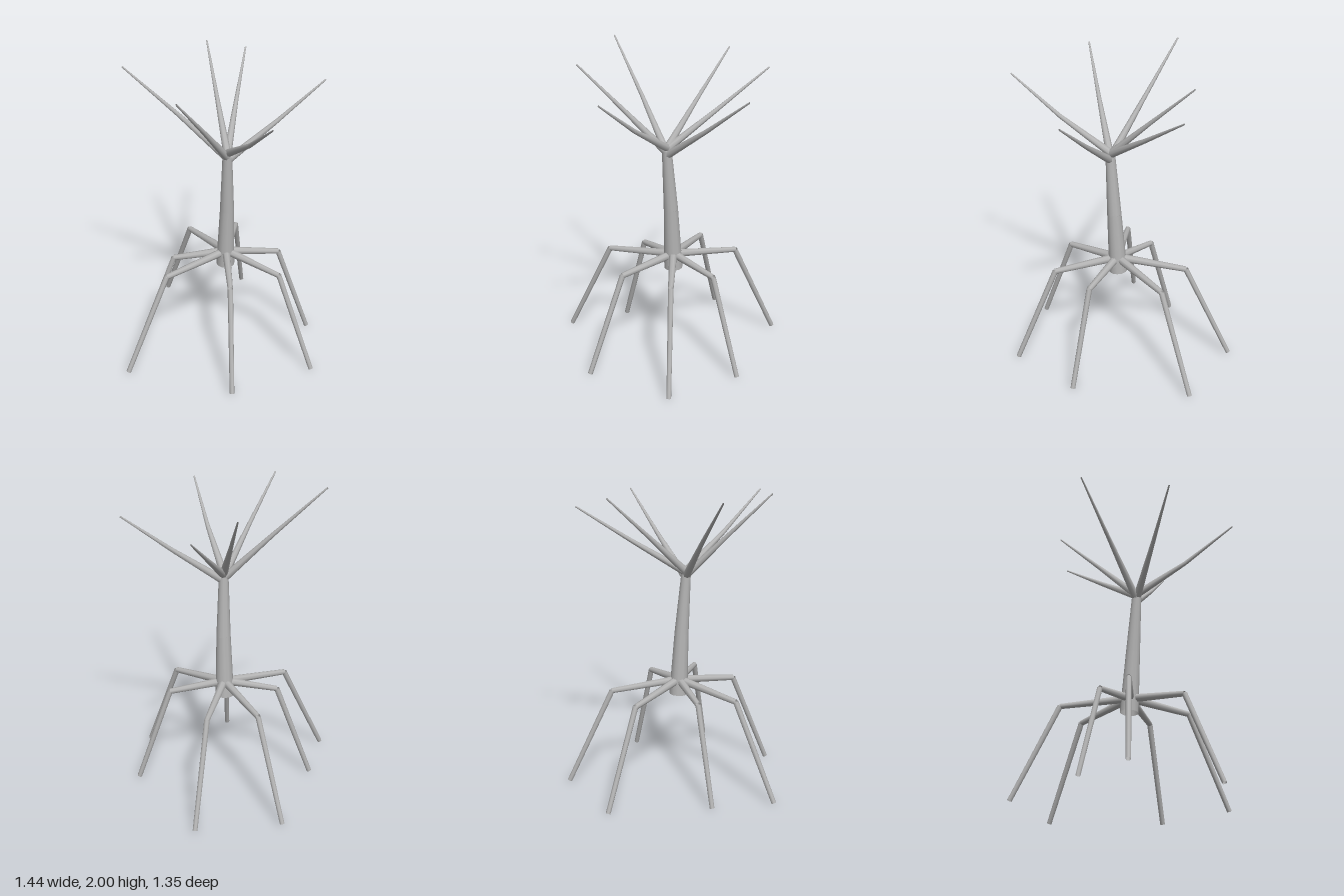
import * as THREE from 'three';

const bark = new THREE.MeshStandardMaterial({ color: 0xb4b4b4, side: THREE.DoubleSide });
bark.name = 'grey bark';

// Tapered limb through a list of points, one open tube per segment
function limb(name, points, radii, sides) {
  const group = new THREE.Group();
  group.name = name;
  const up = new THREE.Vector3(0, 1, 0);
  for (let i = 0; i < points.length - 1; i++) {
    const a = new THREE.Vector3(...points[i]);
    const b = new THREE.Vector3(...points[i + 1]);
    const dir = b.clone().sub(a);
    const geo = new THREE.CylinderGeometry(radii[i + 1], radii[i], dir.length(), sides, 1, true);
    const mesh = new THREE.Mesh(geo, bark);
    mesh.name = `${name}Segment${i + 1}`;
    mesh.position.copy(a).add(b).multiplyScalar(0.5);
    mesh.quaternion.setFromUnitVectors(up, dir.normalize());
    group.add(mesh);
  }
  return group;
}

export function createModel() {
  const model = new THREE.Group();
  model.name = 'stiltRootTree';

  // Leaning trunk in two segments
  model.add(limb('trunk',
    [[0.027, 0.585, -0.103], [0.052, 1.0, -0.094], [0.077, 1.4, -0.075]],
    [0.06, 0.046, 0.031], 12));

  // Stilt roots: knee x, z and foot x, z
  const roots = [
    [-0.415, -0.128, -0.712, -0.135],
    [-0.28, -0.42, -0.483, -0.635],
    [-0.163, 0.18, -0.285, 0.37],
    [0.01, 0.355, -0.003, 0.66],
    [0.365, 0.11, 0.578, 0.25],
    [0.42, -0.24, 0.67, -0.328],
    [0.175, -0.43, 0.263, -0.632],
  ];
  roots.forEach(([kx, kz, fx, fz], i) => model.add(limb(`root${i + 1}`,
    [[0.033, 0.683, -0.103], [kx, 0.633, kz], [fx, 0.007, fz]],
    [0.027, 0.018, 0.0155], 8)));

  // Bare branches: start height, bend point and tip
  const branches = [
    [1.385, [-0.105, 1.685, 0.17], [-0.298, 1.998, 0.44]],
    [1.39, [0.175, 1.67, 0.178], [0.27, 1.95, 0.438]],
    [1.42, [0.4, 1.62, 0.003], [0.715, 1.858, 0.088]],
    [1.37, [0.187, 1.6, -0.375], [0.295, 1.845, -0.672]],
    [1.415, [-0.175, 1.68, -0.18], [-0.445, 1.96, -0.295]],
    [1.41, [-0.16, 1.63, -0.32], [-0.4, 1.867, -0.577]],
  ];
  branches.forEach(([y, bend, tip], i) => model.add(limb(`branch${i + 1}`,
    [[0.077, y, -0.075], bend, tip],
    [0.026, 0.014, 0.005], 8)));

  return model;
}
